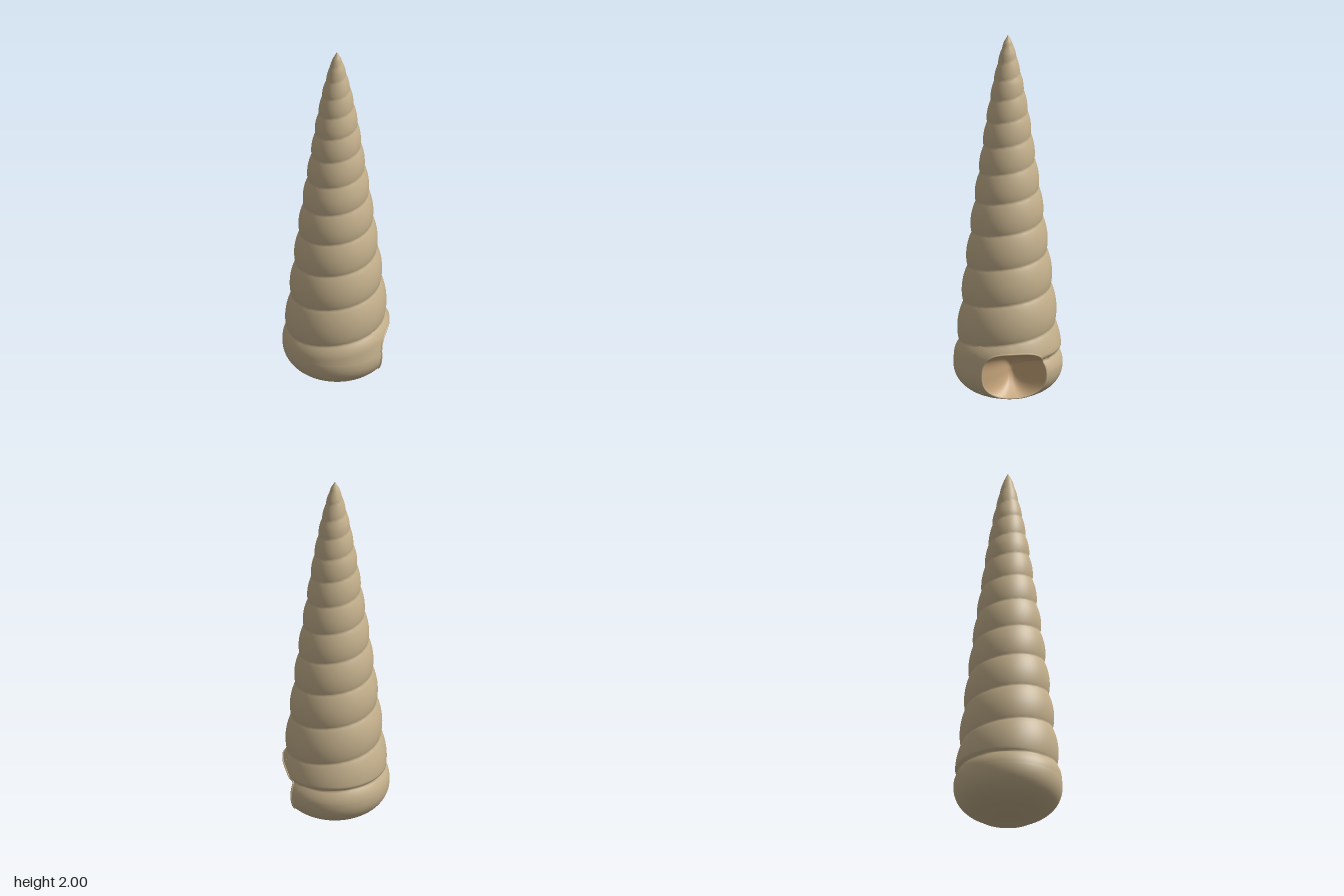
import * as THREE from 'three';

const TAU = Math.PI * 2;
const COLS = 96, BASE_ROWS = 20, SPIRE_ROWS = 230, SHOULDER = 0.185;

// Outer envelope of the spire: [height, radius]
const ENVELOPE = [
  [0.185, 0.288], [0.29, 0.279], [0.4, 0.266], [0.57, 0.247], [0.77, 0.223], [0.96, 0.199], [1.15, 0.173],
  [1.35, 0.143], [1.55, 0.114], [1.75, 0.078], [1.9, 0.042], [1.96, 0.022], [2, 0],
];

function envelope(y) {
  if (y < SHOULDER) {
    const t = 1 - Math.max(0, y) / SHOULDER;
    return 0.288 * Math.pow(Math.max(0, 1 - Math.pow(t, 2.3)), 1 / 2.3);
  }
  let k = 0;
  while (k < ENVELOPE.length - 2 && y > ENVELOPE[k + 1][0]) k++;
  const [y0, r0] = ENVELOPE[k], [y1, r1] = ENVELOPE[k + 1];
  return r0 + (r1 - r0) * Math.min(1, (y - y0) / (y1 - y0));
}

// Height of the suture after n turns, and its inverse
const sutureY = (n) => 0.28 + (n < 0 ? 0.05 * n : 0.22 * n - 0.0065 * n * n);
const turnsAt = (y) => (y < 0.28 ? (y - 0.28) / 0.05
  : (0.22 - Math.sqrt(0.0484 - 0.026 * (y - 0.28))) / 0.013);

// Shell radius: envelope pinched along the helical suture
function shellRadius(phi, y) {
  const start = Math.PI / 4;
  const wrapped = start + ((((phi - start) % TAU) + TAU) % TAU);
  const lowest = wrapped / TAU - 0.75;
  const f = turnsAt(y) - lowest;
  let pinch;
  if (f < 0) {
    const t = Math.min(1, (sutureY(lowest) - y) / 0.07);
    pinch = (1 - t) * (1 - t);
  } else {
    pinch = 1 - Math.pow(Math.sin(Math.PI * (f - Math.floor(f))), 0.7);
  }
  return envelope(y) * (1 - 0.075 * pinch);
}

const polar = (phi, y, r) => new THREE.Vector3(r * Math.sin(phi), y, r * Math.cos(phi));
const onShell = (phi, y) => polar(phi, y, shellRadius(phi, y));

// Surface closed around i, open along j; skip(i, j) leaves quads out
function closedGrid(nu, nv, point, skip = () => false) {
  const pos = [], index = [];
  for (let j = 0; j <= nv; j++) {
    for (let i = 0; i < nu; i++) pos.push(...point(i, j).toArray());
  }
  for (let j = 0; j < nv; j++) {
    for (let i = 0; i < nu; i++) {
      if (skip(i, j)) continue;
      const n = (i + 1) % nu;
      const a = j * nu + i, b = j * nu + n, c = b + nu, d = a + nu;
      index.push(a, b, c, a, c, d);
    }
  }
  const g = new THREE.BufferGeometry();
  g.setAttribute('position', new THREE.Float32BufferAttribute(pos, 3));
  g.setIndex(index);
  g.computeVertexNormals();
  return g;
}

// Row heights: eased over the rounded base, even up the spire
const rowY = (j) => (j <= BASE_ROWS
  ? SHOULDER * (1 - Math.cos((j / BASE_ROWS) * Math.PI / 2))
  : SHOULDER + (2 - SHOULDER) * (j - BASE_ROWS) / SPIRE_ROWS);

// Window in the wall that holds the mouth
const WIN = { cols: COLS / 4, lo: 6, hi: BASE_ROWS + 19 };
const MOUTH = { phi: Math.PI / 4, y: 0.175, w: 0.645, h: 0.134 };

function rim(i) {
  const a = (i / COLS) * TAU, c = Math.cos(a), s = Math.sin(a), e = 2 / 2.9;
  return [
    MOUTH.phi + MOUTH.w * Math.sign(c) * Math.pow(Math.abs(c), e),
    MOUTH.y + MOUTH.h * Math.sign(s) * Math.pow(Math.abs(s), e),
  ];
}

function windowEdge(i) {
  const a = (i / COLS) * TAU, c = Math.cos(a), s = Math.sin(a);
  const m = Math.max(Math.abs(c), Math.abs(s));
  const lo = rowY(WIN.lo), hi = rowY(WIN.hi);
  return [MOUTH.phi + (Math.PI / 4) * c / m, (lo + hi) / 2 + ((hi - lo) / 2) * s / m];
}

export function createModel() {
  const group = new THREE.Group();
  group.name = 'spiralSeaShell';
  const shellMat = new THREE.MeshStandardMaterial({ color: 0xc4b08c, side: THREE.DoubleSide });
  const innerMat = new THREE.MeshStandardMaterial({ color: 0xc8a67c, side: THREE.DoubleSide });
  const add = (name, geometry, material) => {
    const mesh = new THREE.Mesh(geometry, material);
    mesh.name = name;
    group.add(mesh);
  };

  // Whorled spire and rounded base
  add('whorls', closedGrid(COLS, BASE_ROWS + SPIRE_ROWS,
    (i, j) => onShell((i / COLS) * TAU, rowY(j)),
    (i, j) => i < WIN.cols && j >= WIN.lo && j < WIN.hi), shellMat);

  // Wall between the window and the rim of the mouth
  add('mouthWall', closedGrid(COLS, 6, (i, j) => {
    const [p0, y0] = windowEdge(i), [p1, y1] = rim(i), t = j / 6;
    return onShell(p0 + (p1 - p0) * t, y0 + (y1 - y0) * t);
  }), shellMat);

  // Hollow inside the mouth, narrowing inwards
  add('mouthHollow', closedGrid(COLS, 16, (i, j) => {
    const [p, y] = rim(i), d = 1 - j / 16;
    const r = shellRadius(p, y), depth = Math.pow(d, 2.2);
    return polar(MOUTH.phi + (p - MOUTH.phi) * d, MOUTH.y + (y - MOUTH.y) * d, 0.1 + (r - 0.1) * depth);
  }), innerMat);

  // Thin lip round the mouth
  const lipPoints = [];
  for (let i = 0; i < COLS; i += 2) lipPoints.push(onShell(...rim(i)));
  add('lip', new THREE.TubeGeometry(new THREE.CatmullRomCurve3(lipPoints, true), 96, 0.005, 8, true), shellMat);

  return group;
}
